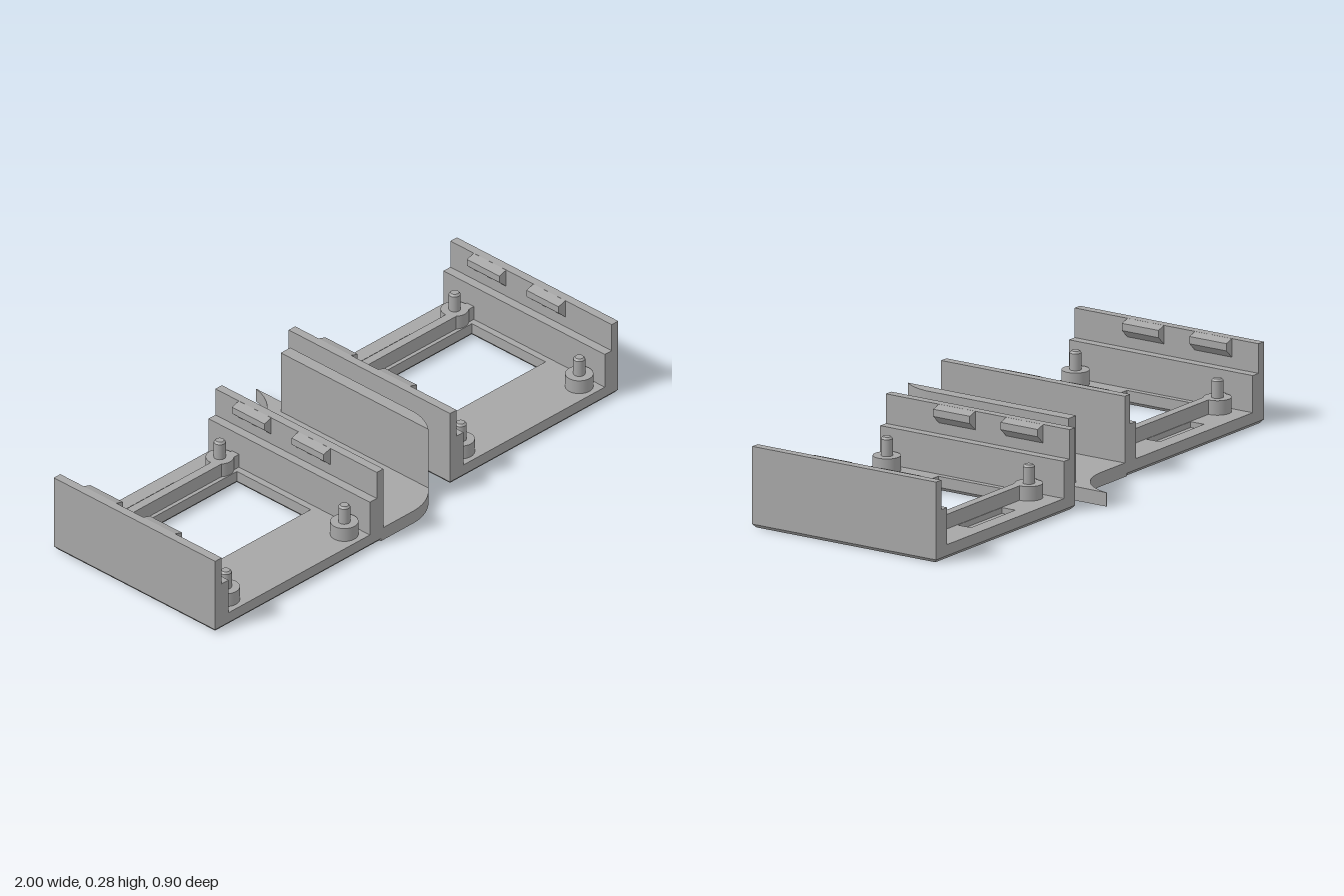
import * as THREE from 'three';

const grey = new THREE.MeshStandardMaterial({ color: 0xa6a6a6 });
grey.name = 'plain grey';

const W = 0.4, D = 0.3725;                                 // tray half width and half depth
const WIN = { x0: -0.315, x1: 0.312, z0: -0.218, z1: 0.122 }; // window opening

function add(parent, name, geometry, x = 0, y = 0, z = 0) {
  const mesh = new THREE.Mesh(geometry, grey);
  mesh.name = name;
  mesh.position.set(x, y, z);
  parent.add(mesh);
  return mesh;
}

function box(parent, name, x0, x1, y0, y1, z0, z1) {
  return add(parent, name, new THREE.BoxGeometry(x1 - x0, y1 - y0, z1 - z0),
    (x0 + x1) / 2, (y0 + y1) / 2, (z0 + z1) / 2);
}

// Rectangle in plan; shape y is -z
function rect(T, x0, x1, z0, z1) {
  return new T([[x0, -z1], [x1, -z1], [x1, -z0], [x0, -z0]].map(p => new THREE.Vector2(...p)));
}

// Extrude a plan shape upwards from y0 to y1
function slab(shape, y0, y1) {
  return new THREE.ExtrudeGeometry(shape, { depth: y1 - y0, bevelEnabled: false, curveSegments: 24 })
    .rotateX(-Math.PI / 2).translate(0, y0, 0);
}

// Floor layer with the window and optional slot cut out
function floorLayer(y0, y1, withSlot) {
  const shape = rect(THREE.Shape, -W, W, -D, D);
  shape.holes.push(rect(THREE.Path, WIN.x0, WIN.x1, WIN.z0, WIN.z1));
  if (withSlot) shape.holes.push(rect(THREE.Path, -0.13, 0.125, -0.32, -0.266));
  return slab(shape, y0, y1);
}

// Bottom layer: the lower edges are drawn back to form a chamfer
function chamferedLayer() {
  const g = floorLayer(0, 0.012, false), p = g.attributes.position, c = 0.01;
  for (let i = 0; i < p.count; i++) {
    if (p.getY(i) > 0.006) continue;
    const x = p.getX(i), z = p.getZ(i);
    const outer = Math.abs(x) > W - 0.01 ? -1 : 1;
    const midZ = outer > 0 ? (WIN.z0 + WIN.z1) / 2 : 0;
    p.setX(i, x + outer * c * Math.sign(x));
    p.setZ(i, z + outer * c * Math.sign(z - midZ));
  }
  g.computeVertexNormals();
  return g;
}

function makeTray(name) {
  const tray = new THREE.Group();
  tray.name = name;
  add(tray, 'floorBottom', chamferedLayer());
  add(tray, 'floorMiddle', floorLayer(0.012, 0.03, false));
  add(tray, 'floorTop', floorLayer(0.03, 0.05, true));
  box(tray, 'backRib', -0.336, 0.336, 0.05, 0.1, -0.264, -0.232);

  // Side walls: thick below, thin above, with two snap hooks each
  for (const s of [-1, 1]) {
    const span = (a, b) => (s > 0 ? [a, b] : [-b, -a]);
    box(tray, 'wallBase', ...span(0.336, W), 0.012, 0.178, -D, D);
    box(tray, 'wallTop', ...span(0.369, W), 0.178, 0.28, -D, D);
    for (const [z0, z1] of [[-0.265, -0.115], [0.01, 0.158]]) {
      const profile = [[0.37, 0.215], [0.37, 0.28], [0.337, 0.27], [0.337, 0.245]];
      const shape = new THREE.Shape(profile.map(([x, y]) => new THREE.Vector2(s * x, y)));
      add(tray, 'snapHook', new THREE.ExtrudeGeometry(shape, { depth: z1 - z0, bevelEnabled: false }), 0, 0, z0);
    }
  }

  // Mounting bosses with pins
  for (const x of [-0.282, 0.282]) for (const z of [-0.268, 0.307]) {
    add(tray, 'boss', new THREE.CylinderGeometry(0.047, 0.047, 0.05, 32), x, 0.075, z);
    add(tray, 'pin', new THREE.CylinderGeometry(0.02, 0.02, 0.058, 24), x, 0.129, z);
    add(tray, 'pinTip', new THREE.CylinderGeometry(0.014, 0.02, 0.007, 24), x, 0.1615, z);
  }
  return tray;
}

// Curved side shelf with an upright wall
function makeShelf() {
  const shelf = new THREE.Group();
  shelf.name = 'sideShelf';
  const r = 0.185, cx = -0.06, edge = 0.125, front = 0.45, back = -0.295;
  const tip = Math.asin(0.03 / r);

  const plate = new THREE.Shape();
  plate.moveTo(-0.212, -front);
  plate.lineTo(cx, -front);
  plate.absarc(cx, -front + r, r, -Math.PI / 2, 0, false);
  plate.lineTo(edge, 0.45);
  plate.absarc(cx, -back + r, r, -tip, -Math.PI / 2, true);
  plate.lineTo(-0.212, -back);
  plate.closePath();
  add(shelf, 'shelfPlate', slab(plate, 0.002, 0.05));

  // The wall end follows the rounded front corner
  const x0 = 0.08, a = -Math.acos((x0 - cx) / r);
  const wall = new THREE.Shape();
  wall.moveTo(x0, -back);
  wall.lineTo(x0, -front + r + r * Math.sin(a));
  wall.absarc(cx, -front + r, r, a, 0, false);
  wall.lineTo(edge, -back);
  wall.closePath();
  add(shelf, 'shelfWall', slab(wall, 0.05, 0.28));
  return shelf;
}

export function createModel() {
  const model = new THREE.Group();
  model.name = 'twinTrayHousing';
  const rightTray = makeTray('rightTray');
  rightTray.position.set(-0.6, 0, 0.0775);
  const leftTray = makeTray('leftTray');
  leftTray.position.set(0.6, 0, -0.0025);
  model.add(rightTray, leftTray, makeShelf());
  return model;
}
